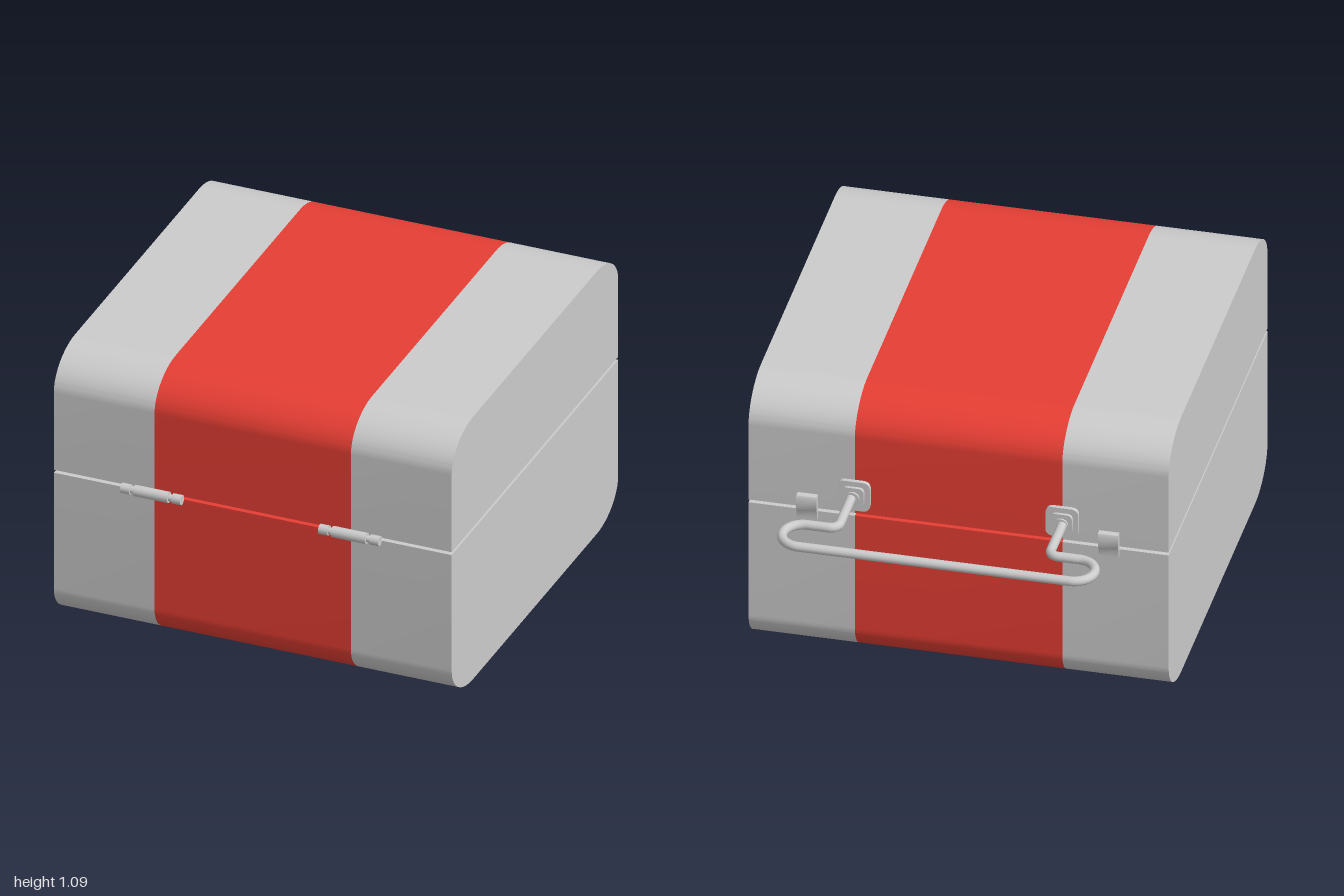
import * as THREE from 'three';
import { toCreasedNormals } from 'three/addons/utils/BufferGeometryUtils.js';

const BACK = -0.59, FRONT = 0.963, SEAM = 0.625, HEIGHT = 1.09;

const grey = new THREE.MeshStandardMaterial({ color: 0xcccccc });
const red = new THREE.MeshStandardMaterial({ color: 0xe63e34 });
const black = new THREE.MeshStandardMaterial({ color: 0x0c0c0c });

function addMesh(parent, name, geometry, material, x = 0, y = 0, z = 0) {
  const mesh = new THREE.Mesh(geometry, material);
  mesh.name = name;
  mesh.position.set(x, y, z);
  parent.add(mesh);
  return mesh;
}

// Extrudes a side profile (z, y) across x, centred on x = 0
function extrudeAcross(shape, width) {
  const g = new THREE.ExtrudeGeometry(shape, { depth: width, bevelEnabled: false, curveSegments: 14 });
  g.translate(0, 0, -width / 2);
  g.rotateY(-Math.PI / 2);
  return toCreasedNormals(g, 0.6);
}

// Half-shell side profile: flat at the seam, elliptical corners on the far edge
function shellProfile(seamY, farY) {
  const rz = 0.2, ry = 0.14 * Math.sign(farY - seamY);
  const s = new THREE.Shape();
  const up = ry > 0;
  s.moveTo(BACK, seamY);
  s.lineTo(FRONT, seamY);
  s.lineTo(FRONT, farY - ry);
  s.absellipse(FRONT - rz, farY - ry, rz, Math.abs(ry), 0, up ? Math.PI / 2 : -Math.PI / 2, !up);
  s.lineTo(BACK + rz, farY);
  s.absellipse(BACK + rz, farY - ry, rz, Math.abs(ry), up ? Math.PI / 2 : -Math.PI / 2, Math.PI, !up);
  s.closePath();
  return s;
}

// Square plate with rounded corners, standing out from the back wall
function roundedPlate(size, radius, thickness) {
  const h = size / 2, k = h - radius;
  const s = new THREE.Shape();
  s.absarc(k, k, radius, 0, Math.PI / 2);
  s.absarc(-k, k, radius, Math.PI / 2, Math.PI);
  s.absarc(-k, -k, radius, Math.PI, Math.PI * 1.5);
  s.absarc(k, -k, radius, Math.PI * 1.5, Math.PI * 2);
  s.closePath();
  const g = new THREE.ExtrudeGeometry(s, { depth: thickness, bevelEnabled: false, curveSegments: 5 });
  g.translate(0, 0, -thickness);
  return toCreasedNormals(g, 0.6);
}

function createShell(name, seamY, farY) {
  const shell = new THREE.Group();
  shell.name = name;
  const profile = shellProfile(seamY, farY);
  const side = extrudeAcross(profile, 0.395);
  addMesh(shell, 'leftPanel', side, grey, 0.5825);
  addMesh(shell, 'rightPanel', side, grey, -0.5825);
  addMesh(shell, 'redBand', extrudeAcross(profile, 0.77), red);
  return shell;
}

// Barrel hinge with a thin pin and two end knuckles
function createHinge(x) {
  const hinge = new THREE.Group();
  hinge.name = 'hinge';
  hinge.position.set(x, SEAM, 0.979);
  const rod = (name, r, length, px) => {
    const g = new THREE.CylinderGeometry(r, r, length, 20);
    g.rotateZ(Math.PI / 2);
    addMesh(hinge, name, g, grey, px);
  };
  rod('barrel', 0.021, 0.135, 0);
  rod('pin', 0.013, 0.2, 0);
  for (const s of [-1, 1]) rod('knuckle', 0.019, 0.036, s * 0.1);
  return hinge;
}

// Catch that laps over the seam, with a stepped lower lip
function createLatch(x) {
  const s = new THREE.Shape();
  s.moveTo(0.002, 0.69);
  s.lineTo(-0.016, 0.69);
  s.quadraticCurveTo(-0.024, 0.69, -0.024, 0.68);
  s.lineTo(-0.024, 0.635);
  s.lineTo(-0.016, 0.622);
  s.lineTo(-0.016, 0.59);
  s.lineTo(0.002, 0.59);
  s.closePath();
  s.getPoints();
  const g = new THREE.Group();
  g.name = 'latch';
  addMesh(g, 'latchPlate', extrudeAcross(s, 0.075), grey, 0, 0, BACK);
  g.position.x = x;
  return g;
}

// Handle path with rounded corners at each inner point: [x, z, corner radius]
function handlePath(y) {
  const half = [[0.392, -0.6, 0], [0.392, -0.832, 0.035], [0.579, -0.832, 0.075], [0.579, -0.983, 0.075]];
  const pts = [...half, ...half.map(([x, z, r]) => [-x, z, r]).reverse()];
  const vec = pts.map(([x, z]) => new THREE.Vector3(x, y, z));
  const path = new THREE.CurvePath();
  let last = vec[0];
  for (let i = 1; i < vec.length - 1; i++) {
    const toward = (p) => vec[i].clone().add(p.clone().sub(vec[i]).setLength(pts[i][2]));
    const a = toward(vec[i - 1]), b = toward(vec[i + 1]);
    path.add(new THREE.LineCurve3(last, a));
    // Cubic quarter arc
    path.add(new THREE.CubicBezierCurve3(a, a.clone().lerp(vec[i], 0.5523), b.clone().lerp(vec[i], 0.5523), b));
    last = b;
  }
  path.add(new THREE.LineCurve3(last, vec[vec.length - 1]));
  return path;
}

function createHandle() {
  const handle = new THREE.Group();
  handle.name = 'handle';
  const y = 0.712;
  addMesh(handle, 'handleBar', new THREE.TubeGeometry(handlePath(y), 260, 0.018, 14), grey);
  for (const x of [-0.387, 0.387]) {
    addMesh(handle, 'mountPlate', roundedPlate(0.122, 0.025, 0.016), grey, x, y, BACK);
    addMesh(handle, 'mountStep', roundedPlate(0.082, 0.02, 0.012), grey, x, y, BACK - 0.016);
    const collar = new THREE.CylinderGeometry(0.026, 0.026, 0.012, 18);
    collar.rotateX(Math.PI / 2);
    addMesh(handle, 'mountCollar', collar, grey, x, y, BACK - 0.03);
  }
  return handle;
}

export function createModel() {
  const model = new THREE.Group();
  model.name = 'carryCase';
  model.add(createShell('lowerShell', SEAM - 0.006, 0));
  model.add(createShell('upperShell', SEAM + 0.006, HEIGHT));

  // Dark seal recessed inside the seam
  addMesh(model, 'seal', new THREE.BoxGeometry(1.49, 0.014, FRONT - BACK - 0.07), black,
    0, SEAM, (FRONT + BACK) / 2);

  for (const s of [-1, 1]) {
    model.add(createHinge(s * 0.388));
    model.add(createLatch(s * 0.56));
  }
  model.add(createHandle());
  return model;
}
